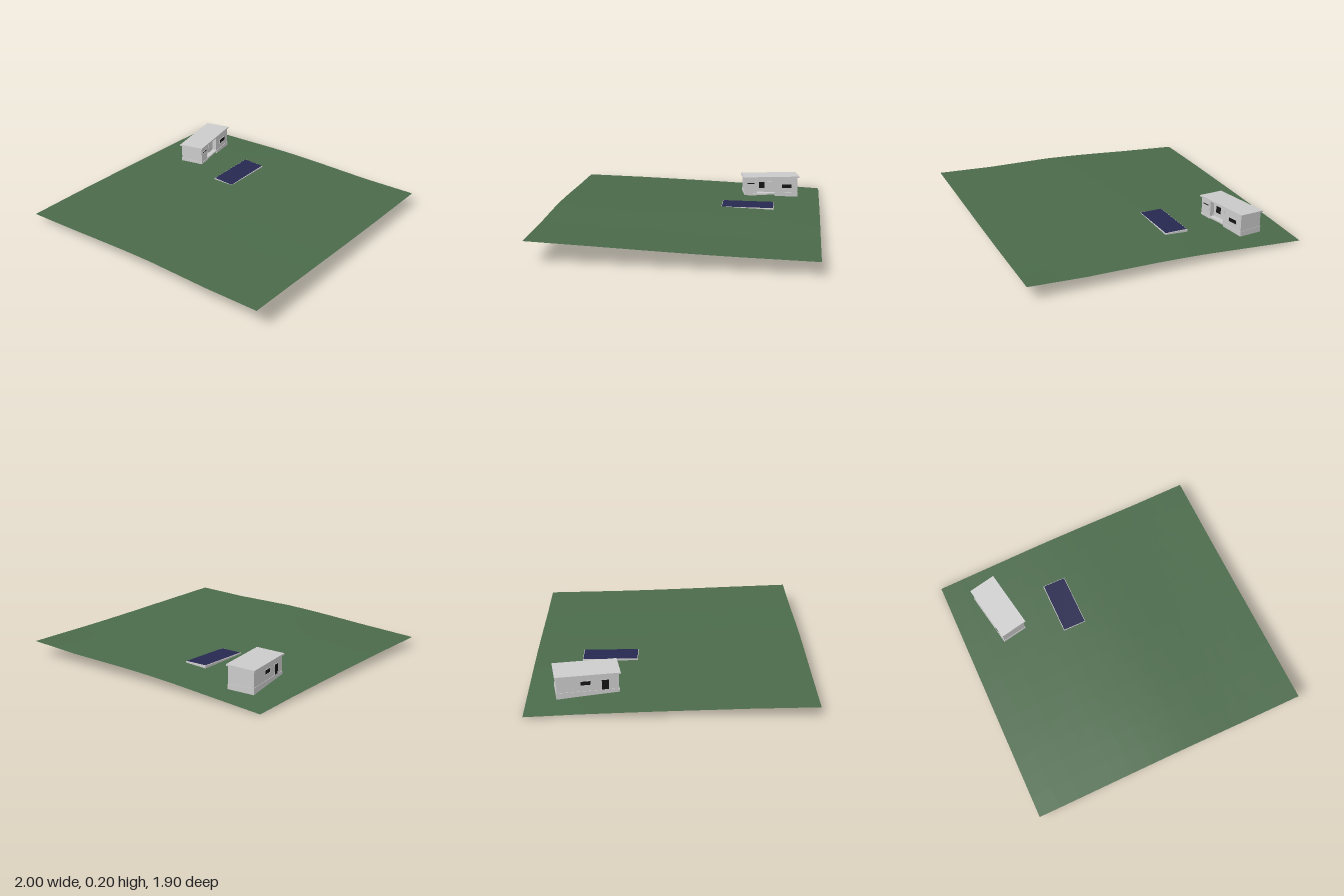
import * as THREE from 'three';

const mat = (color, side = THREE.FrontSide) => new THREE.MeshStandardMaterial({ color, side });
const grey = mat(0xcccccc, THREE.DoubleSide);
const dark = mat(0x141414);
const grass = mat(0x4b6a4b, THREE.DoubleSide);
const water = mat(0x27284f, THREE.DoubleSide);

function add(parent, name, geometry, material, x = 0, y = 0, z = 0) {
  const mesh = new THREE.Mesh(geometry, material);
  mesh.name = name;
  mesh.position.set(x, y, z);
  parent.add(mesh);
  return mesh;
}
const box = (parent, name, material, w, h, d, x, y, z) =>
  add(parent, name, new THREE.BoxGeometry(w, h, d), material, x, y, z);

// Linear interpolation through [position, height] pairs
function along(points, t) {
  for (let i = 1; i < points.length; i++) {
    const [a, ha] = points[i - 1], [b, hb] = points[i];
    if (t <= b + 1e-6) return ha + (hb - ha) * (t - a) / (b - a);
  }
  return points[points.length - 1][1];
}

// Heights along the four edges of the plot
const back = [[-1, 0.003], [-0.55, 0.035], [-0.2, 0.06], [0.1, 0.071], [0.6, 0.08], [1, 0.1]];
const front = [[-1, 0.06], [-0.55, 0.09], [-0.2, 0.117], [0.1, 0.134], [0.6, 0.14], [1, 0.157]];
const left = [[-0.95, 0.003], [-0.6, 0.02], [-0.2, 0.034], [0, 0.04], [0.5, 0.053], [0.95, 0.06]];
const right = [[-0.95, 0.1], [-0.35, 0.111], [0, 0.122], [0.5, 0.141], [0.95, 0.157]];

// Ground height blended from the edges
function ground(x, z) {
  const u = (x + 1) / 2, v = (z + 0.95) / 1.9;
  return (1 - v) * along(back, x) + v * along(front, x) + (1 - u) * along(left, z) + u * along(right, z)
    - (0.003 + 0.097 * u + 0.057 * v);
}

const pool = { x0: -0.3, x1: -0.13, z0: -0.612, z1: -0.226 };

// Sloping lawn with an opening at the pool
function lawnGeometry() {
  const xs = [-1, -0.85, -0.7, -0.55, -0.42, pool.x0, pool.x1, 0, 0.12, 0.3, 0.45, 0.6, 0.8, 1];
  const zs = [-0.95, -0.78, pool.z0, -0.42, pool.z1, -0.1, 0.05, 0.2, 0.35, 0.5, 0.65, 0.8, 0.95];
  const pos = [], index = [], n = xs.length;
  for (const z of zs) for (const x of xs) pos.push(x, ground(x, z), z);
  for (let j = 0; j < zs.length - 1; j++) for (let i = 0; i < n - 1; i++) {
    if (xs[i] === pool.x0 && zs[j] >= pool.z0 && zs[j] < pool.z1) continue;
    const a = j * n + i;
    index.push(a, a + n, a + 1, a + 1, a + n, a + n + 1);
  }
  const g = new THREE.BufferGeometry();
  g.setAttribute('position', new THREE.Float32BufferAttribute(pos, 3));
  g.setIndex(index);
  g.computeVertexNormals();
  return g;
}

// House footprint with a recessed porch on the +x side; t insets the outline
function footprint(Type, t) {
  const w = 0.09 - t, l = 0.206 - t, r = 0.05 - t;
  return new Type([[-w, l], [w, l], [w, 0.12 + t], [r, 0.12 + t], [r, -0.033 - t], [w, -0.033 - t], [w, -l], [-w, -l]]
    .map(([x, z]) => new THREE.Vector2(x, -z)));
}
function wallRing(outer, inner, height) {
  const shape = footprint(THREE.Shape, outer);
  shape.holes.push(footprint(THREE.Path, inner));
  return new THREE.ExtrudeGeometry(shape, { depth: height, bevelEnabled: false }).rotateX(-Math.PI / 2);
}
// Tilts upper vertices to follow the roof pitch
function pitch(geometry, minY) {
  const p = geometry.attributes.position;
  for (let i = 0; i < p.count; i++) if (p.getY(i) > minY) p.setY(i, p.getY(i) + 0.075 * p.getX(i));
  geometry.computeVertexNormals();
  return geometry;
}

function createHouse() {
  const house = new THREE.Group();
  house.name = 'house';
  add(house, 'walls', pitch(wallRing(0, 0.008, 0.184), 0.1), grey);
  add(house, 'plinth', wallRing(-0.003, 0.008, 0.07), grey);
  add(house, 'roof', pitch(new THREE.BoxGeometry(0.2, 0.011, 0.436), -1), grey, 0, 0.189, 0);

  // Windows and door: side, name, bottom, top, z range
  const openings = [
    [0.09, 'sideWindow', 0.108, 0.14, -0.16, -0.083],
    [0.09, 'slitWindow', 0.145, 0.156, 0.13, 0.19],
    [-0.09, 'rearWindow', 0.112, 0.142, -0.05, 0.02],
    [-0.09, 'rearDoor', 0.07, 0.142, 0.09, 0.14],
  ];
  for (const [x, name, y0, y1, z0, z1] of openings) {
    const y = (y0 + y1) / 2, z = (z0 + z1) / 2, h = y1 - y0, d = z1 - z0;
    box(house, name, dark, 0.003, h, d, x, y, z);
    for (const s of [-1, 1]) {
      box(house, name + 'Frame', grey, 0.006, 0.003, d + 0.006, x, y + s * h / 2, z);
      box(house, name + 'Frame', grey, 0.006, h, 0.003, x, y, z + s * d / 2);
    }
  }
  // Porch glazing and posts
  box(house, 'porchDoor', grey, 0.006, 0.09, 0.05, 0.051, 0.11, 0.0);
  box(house, 'porchWindow', dark, 0.003, 0.05, 0.045, 0.051, 0.125, 0.07);
  box(house, 'porchFloor', grey, 0.042, 0.012, 0.15, 0.069, 0.062, 0.043);
  for (const z of [-0.029, 0.116]) box(house, 'porchPost', grey, 0.006, 0.115, 0.006, 0.087, 0.124, z);

  house.position.set(-0.676, 0, -0.562);
  house.rotation.y = 0.178;
  return house;
}

function createPool() {
  const group = new THREE.Group();
  group.name = 'pool';
  const w = pool.x1 - pool.x0, d = pool.z1 - pool.z0, t = 0.007, top = 0.084, low = 0.02;
  const h = top - low, y = (top + low) / 2;
  for (const s of [-1, 1]) {
    box(group, 'poolSideWall', grey, t, h, d, s * (w - t) / 2, y, 0);
    box(group, 'poolEndWall', grey, w, h, t, 0, y, s * (d - t) / 2);
  }
  const surface = new THREE.PlaneGeometry(w - t, d - t).rotateX(-Math.PI / 2);
  add(group, 'water', surface, water, 0, 0.086, 0);
  // Steps down into the water at the back end
  for (let i = 0; i < 4; i++)
    box(group, 'poolStep', grey, 0.07, 0.012, 0.016, -w / 2 + 0.042, 0.072 - i * 0.012, -d / 2 + 0.015 + i * 0.016);
  group.position.set((pool.x0 + pool.x1) / 2, 0, (pool.z0 + pool.z1) / 2);
  return group;
}

export function createModel() {
  const model = new THREE.Group();
  model.name = 'houseWithPool';
  add(model, 'lawn', lawnGeometry(), grass);
  model.add(createHouse(), createPool());
  return model;
}
